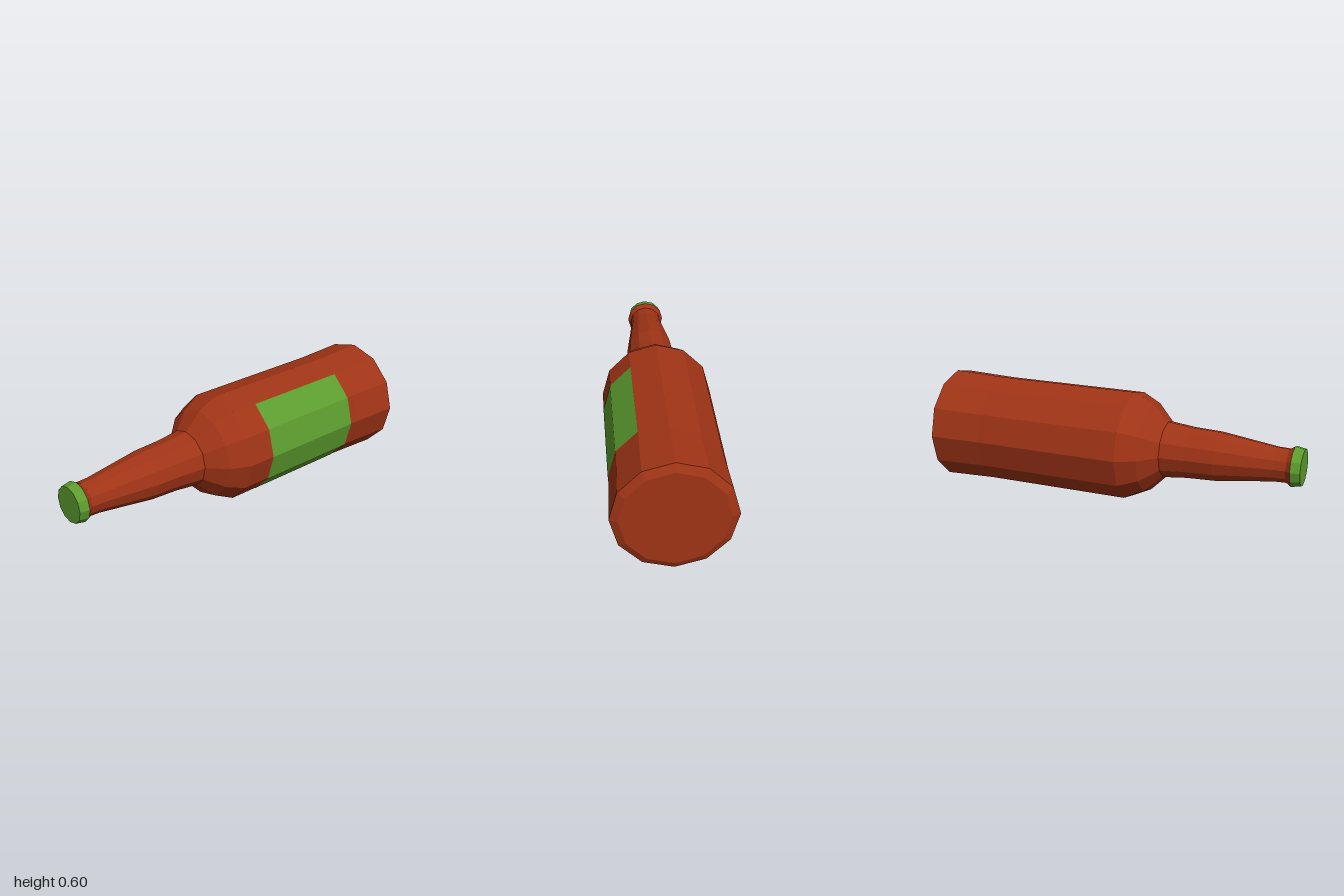
import * as THREE from 'three';

const SIDES = 12;
const AXIS_HEIGHT = 0.3;

const glass = new THREE.MeshStandardMaterial({ color: 0xa03416, flatShading: true });
const green = new THREE.MeshStandardMaterial({ color: 0x5c9c2e, flatShading: true });

// Turned part lying along z; profile is a list of [radius, z] from base to mouth
function turned(name, profile, material, sides = SIDES, start = 0, sweep = Math.PI * 2) {
  const points = profile.map(([r, z]) => new THREE.Vector2(r, z));
  const geometry = new THREE.LatheGeometry(points, sides, start, sweep);
  geometry.rotateX(Math.PI / 2);
  const mesh = new THREE.Mesh(geometry, material);
  mesh.name = name;
  return mesh;
}

export function createModel() {
  const bottle = new THREE.Group();
  bottle.name = 'bottle';

  // Closed base, flared foot, straight wall and sloping shoulder
  bottle.add(turned('body', [
    [0, -1], [0.26, -1], [0.3, -0.98], [0.29, -0.7],
    [0.29, 0.09], [0.24, 0.19], [0.15, 0.28],
  ], glass));

  // Tapering neck with the lip under the cap
  bottle.add(turned('neck', [
    [0.15, 0.28], [0.136, 0.41], [0.13, 0.56], [0.09, 0.86],
    [0.088, 0.925], [0.105, 0.95],
  ], glass));

  bottle.add(turned('cap', [[0.105, 0.95], [0.096, 1], [0, 1]], green));

  // Label wraps four facets on the left side, just proud of the wall
  const label = turned('label', [[0.2915, -0.66], [0.2915, -0.065]], green,
    4, Math.PI / 6, Math.PI * 2 / 3);
  bottle.add(label);

  bottle.children.forEach((part) => { part.position.y = AXIS_HEIGHT; });
  return bottle;
}
